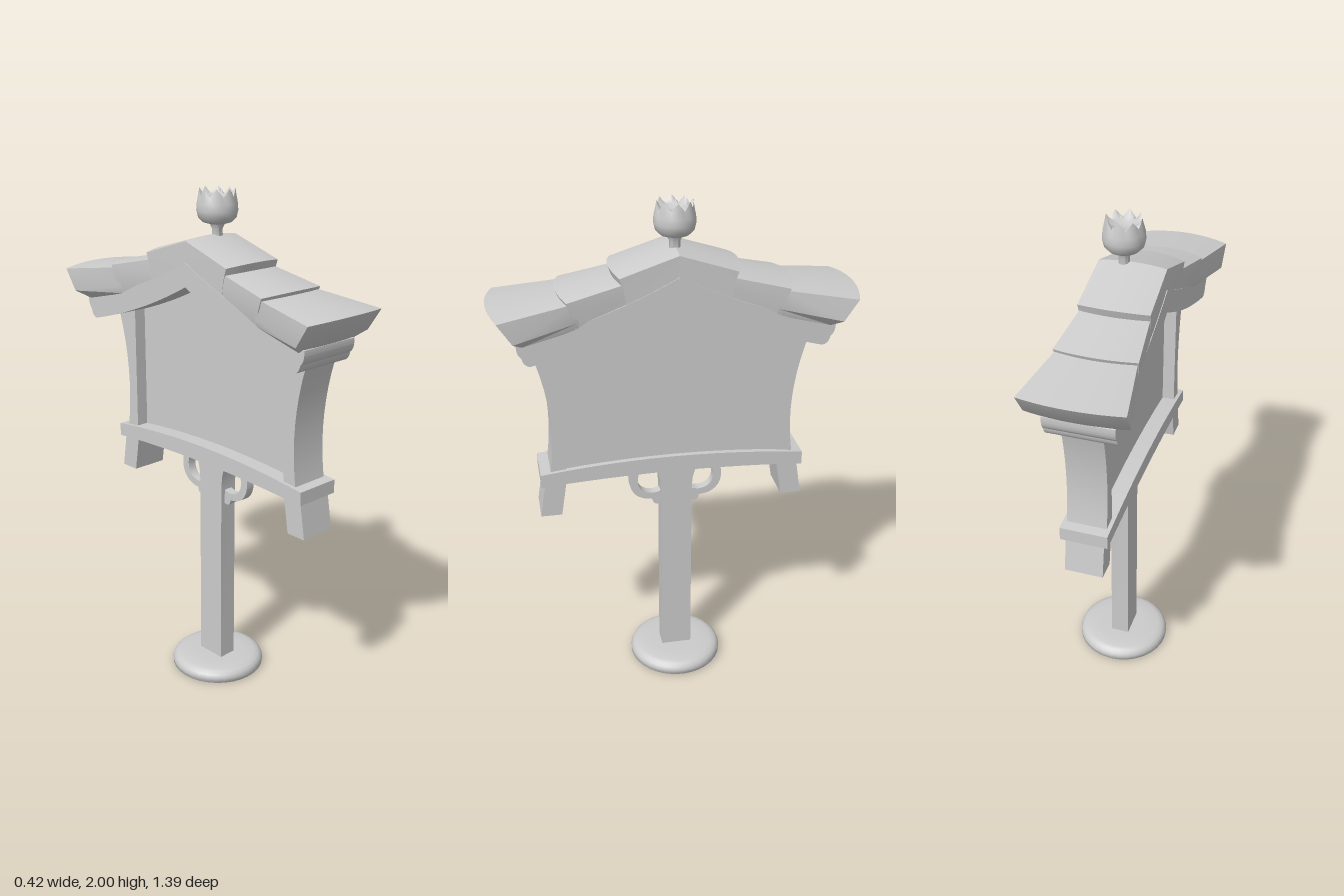
import * as THREE from 'three';
import { toCreasedNormals } from 'three/addons/utils/BufferGeometryUtils.js';

const material = new THREE.MeshStandardMaterial({ color: 0xcccccc, side: THREE.DoubleSide });

function add(parent, name, geometry, crease = 0.55) {
  const mesh = new THREE.Mesh(toCreasedNormals(geometry, crease), material);
  mesh.name = name;
  parent.add(mesh);
  return mesh;
}

// Extrude a (z, y) profile between x0 and x1
function slab(shape, x0, x1) {
  const g = new THREE.ExtrudeGeometry(shape, { depth: x1 - x0, bevelEnabled: false, curveSegments: 12 });
  return g.rotateY(-Math.PI / 2).translate(x1, 0, 0);
}

const polygon = (pts) => new THREE.Shape(pts.map(([z, y]) => new THREE.Vector2(z, y)));
const mirrorZ = (pts) => [...pts, ...pts.slice().reverse().map(([z, y]) => [-z, y])];
const lathe = (pts, n) => new THREE.LatheGeometry(pts.map(([r, y]) => new THREE.Vector2(r, y)), n);

// Build the same parts at the +z and the -z end
function bothEnds(parent, name, build) {
  for (const s of [1, -1]) {
    const end = new THREE.Group();
    end.name = name + (s > 0 ? 'Front' : 'Back');
    end.scale.z = s;
    build(end);
    parent.add(end);
  }
}

// Concave side of the board
const sideCurve = Array.from({ length: 11 }, (_, i) => {
  const y = 0.96 + i * 0.053;
  return [0.467 + 0.5 * Math.pow(y - 1.14, 2), y];
});

// Roof tile: crowned top, flared eave and an end that undercuts toward the ridge
const ROOF_X = -0.022;
function tileGeometry({ inner, outer, mid, under, innerUnder, innerMid }) {
  const n = 10;
  const row = ([z, y, halfWidth, bow]) =>
    Array.from({ length: n + 1 }, (_, i) => {
      const u = (i / n) * 2 - 1;
      return [ROOF_X + u * halfWidth, y - 0.01 * u * u, z - bow * u * u];
    });
  const rows = [inner, outer, mid, under, innerUnder].map(row);
  const im = row(innerMid);
  const pos = [];
  const quad = (a, b, c, d) => pos.push(...a, ...b, ...c, ...a, ...c, ...d);
  for (let r = 0; r < 4; r++) {
    for (let i = 0; i < n; i++) quad(rows[r][i], rows[r + 1][i], rows[r + 1][i + 1], rows[r][i + 1]);
  }
  // Side wall and the slanted strip below it
  const [a, b, c, d, e] = rows;
  quad(a[n], b[n], c[n], im[n]);
  quad(im[n], c[n], d[n], e[n]);
  quad(im[0], c[0], b[0], a[0]);
  quad(e[0], d[0], c[0], im[0]);
  const g = new THREE.BufferGeometry();
  g.setAttribute('position', new THREE.Float32BufferAttribute(pos, 3));
  return g;
}

// Each station: z, y, half width, bow of the edge
const TILES = [
  { inner: [0, 1.832, 0.127, 0], outer: [0.243, 1.762, 0.132, 0.025], mid: [0.228, 1.715, 0.13, 0.025],
    under: [0.2, 1.64, 0.127, 0.01], innerUnder: [0, 1.735, 0.127, 0], innerMid: [0, 1.78, 0.127, 0] },
  { inner: [0.17, 1.745, 0.124, 0], outer: [0.442, 1.69, 0.151, 0.03], mid: [0.425, 1.645, 0.147, 0.03],
    under: [0.39, 1.575, 0.129, 0.01], innerUnder: [0.17, 1.655, 0.124, 0], innerMid: [0.17, 1.7, 0.125, 0] },
  { inner: [0.37, 1.685, 0.14, 0], outer: [0.695, 1.645, 0.19, 0.033], mid: [0.642, 1.562, 0.187, 0.033],
    under: [0.595, 1.53, 0.135, 0.02], innerUnder: [0.37, 1.58, 0.128, 0], innerMid: [0.37, 1.61, 0.138, 0] },
];

// Notice board: recessed panel, end columns, bowed beam and feet
function board() {
  const group = new THREE.Group();
  group.name = 'board';
  group.position.z = 0.02;

  const beam = new THREE.Shape();
  beam.moveTo(-0.52, 0.925);
  beam.quadraticCurveTo(0, 0.966, 0.52, 0.925);
  beam.lineTo(0.52, 0.978);
  beam.quadraticCurveTo(0, 1.044, -0.52, 0.978);
  add(group, 'beam', slab(beam, -0.085, 0.1));

  const half = [...sideCurve.map(([z, y]) => [z - 0.015, y]), [0.25, 1.58], [0, 1.69]];
  add(group, 'panel', slab(polygon(mirrorZ(half)), -0.02, 0.079));

  bothEnds(group, 'boardEnd', (end) => {
    add(end, 'column', slab(polygon([...sideCurve, [0.42, 1.5], [0.42, 0.96]]), -0.07, 0.085));
    add(end, 'foot', slab(polygon([[0.445, 0.785], [0.527, 0.785], [0.5, 0.95], [0.418, 0.95]]), -0.067, 0.083));
  });
  return group;
}

// Curved bracket between post and beam
function bracketShape() {
  const b = new THREE.Shape();
  b.moveTo(0.04, 0.77);
  b.lineTo(0.07, 0.76);
  b.quadraticCurveTo(0.095, 0.758, 0.095, 0.785);
  b.bezierCurveTo(0.15, 0.785, 0.19, 0.82, 0.187, 0.88);
  b.quadraticCurveTo(0.186, 0.915, 0.165, 0.955);
  b.lineTo(0.12, 0.955);
  b.bezierCurveTo(0.168, 0.9, 0.168, 0.82, 0.1, 0.813);
  b.quadraticCurveTo(0.08, 0.81, 0.04, 0.83);
  return b;
}

// Curved gable band following the underside of the tiles
function bandShape() {
  const b = new THREE.Shape();
  b.moveTo(0, 1.652);
  b.quadraticCurveTo(0.27, 1.51, 0.55, 1.44);
  b.quadraticCurveTo(0.575, 1.445, 0.58, 1.475);
  b.quadraticCurveTo(0.6, 1.49, 0.597, 1.53);
  b.quadraticCurveTo(0.27, 1.6, 0, 1.742);
  b.quadraticCurveTo(-0.27, 1.6, -0.597, 1.53);
  b.quadraticCurveTo(-0.6, 1.49, -0.58, 1.475);
  b.quadraticCurveTo(-0.575, 1.445, -0.55, 1.44);
  b.quadraticCurveTo(-0.27, 1.51, 0, 1.652);
  return b;
}

// Bud finial: lathe whose rim is raised into eight points
function budGeometry() {
  const profile = [[0, 1.81], [0.021, 1.81], [0.02, 1.85], [0.028, 1.868], [0.055, 1.876], [0.072, 1.893],
    [0.078, 1.918], [0.076, 1.945], [0.066, 1.98], [0.05, 1.972], [0.025, 1.962], [0, 1.96]];
  const g = lathe(profile, 32);
  const p = g.attributes.position;
  for (let i = 0; i < p.count; i++) {
    if (i % profile.length !== 8) continue;
    const wave = Math.abs(((Math.floor(i / profile.length) % 4) - 2) / 2);
    p.setY(i, 1.97 + 0.03 * wave);
  }
  return g;
}

export function createModel() {
  const model = new THREE.Group();
  model.name = 'roofedNoticeBoard';

  // Rounded foot, hollow underneath
  const base = lathe([[0, 0.022], [0.16, 0.016], [0.185, 0], [0.19, 0.006], [0.191, 0.024],
    [0.186, 0.037], [0.175, 0.047], [0.155, 0.053], [0.1, 0.055], [0, 0.056]], 32);
  add(model, 'base', base, 0.9).position.x = 0.015;

  // Post with flared head
  const post = mirrorZ([[0.062, 0.005], [0.062, 0.83], [0.066, 0.88], [0.077, 0.92], [0.09, 0.96]]);
  add(model, 'post', slab(polygon(post), -0.025, 0.05));

  model.add(board());

  // Roof and brackets
  add(model, 'gableBand', slab(bandShape(), -0.152, 0.108));
  bothEnds(model, 'roof', (end) => {
    TILES.forEach((tile, i) => add(end, `roofTile${i + 1}`, tileGeometry(tile)));
  });
  bothEnds(model, 'bracket', (end) => add(end, 'scroll', slab(bracketShape(), -0.006, 0.031)));

  add(model, 'budFinial', budGeometry(), 0.8).position.x = 0.01;
  return model;
}
